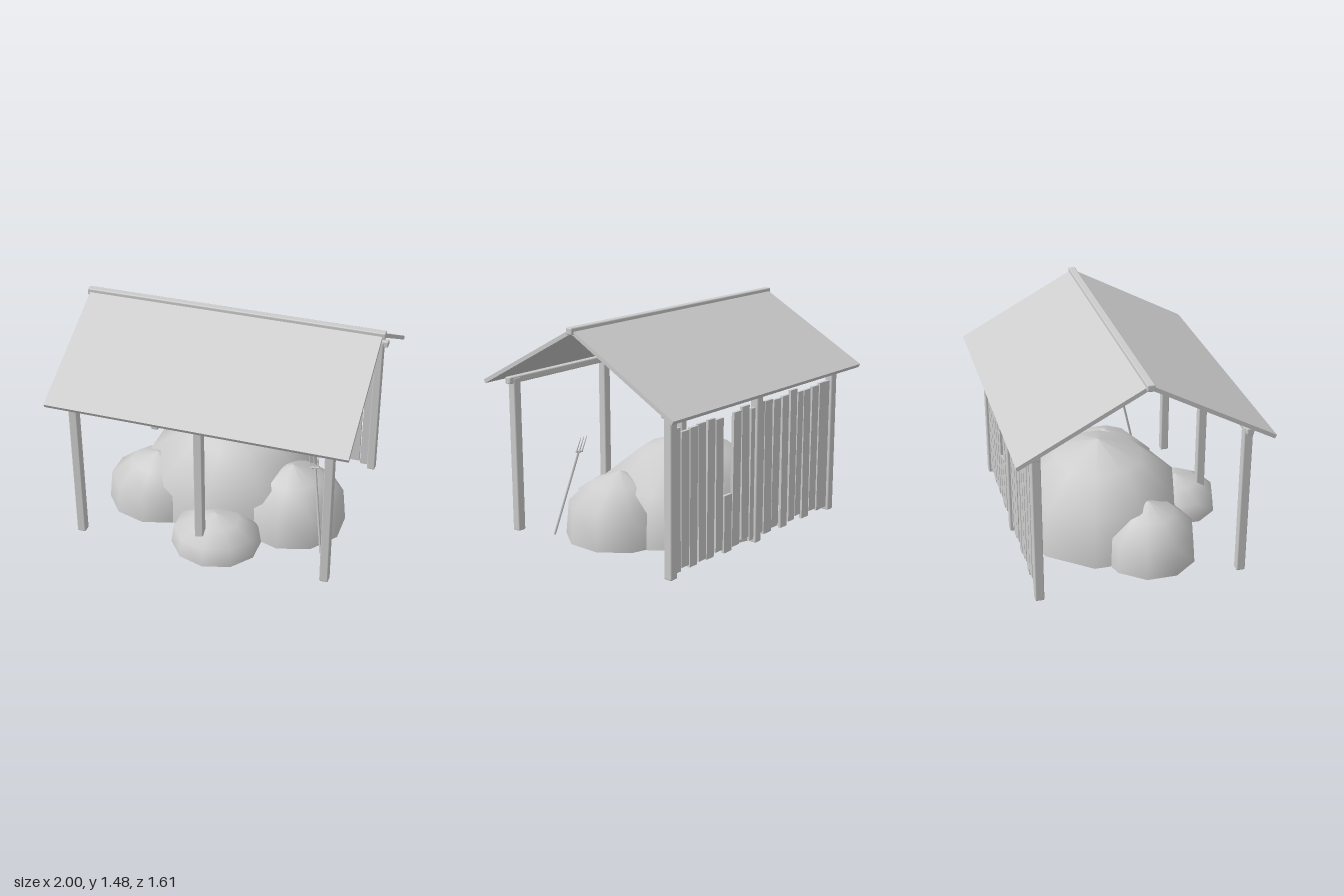
import * as THREE from 'three';
import { RoundedBoxGeometry } from 'three/addons/geometries/RoundedBoxGeometry.js';

export function createModel() {
  const model = new THREE.Group();
  model.name = 'haySheltter'.replace('tt', 't');
  const grey = new THREE.MeshStandardMaterial({ color: 0xcccccc });
  grey.name = 'paleGrey';

  const add = (name, geometry, x, y, z, parent = model) => {
    const mesh = new THREE.Mesh(geometry, grey);
    mesh.name = name;
    mesh.position.set(x, y, z);
    parent.add(mesh);
    return mesh;
  };
  const timber = (w, h, d) => new RoundedBoxGeometry(w, h, d, 1, 0.008);

  // Posts and the beams lying on them
  for (const z of [0.667, -0.662]) {
    const side = z > 0 ? 'front' : 'back';
    for (const x of [-0.84, 0, 0.84]) add(side + 'Post', timber(0.058, 1.045, 0.058), x, 0.5275, z);
    add(side + 'Beam', timber(1.8, 0.045, 0.048), 0, 1.036, z);
  }

  // Pitched roof with a ridge pole
  for (const s of [1, -1]) {
    const panel = add(s > 0 ? 'frontRoof' : 'backRoof', new THREE.BoxGeometry(1.96, 0.026, 0.902), 0, 1.24, s * 0.4);
    panel.rotation.x = s * 0.492;
  }
  add('ridgePole', timber(2, 0.045, 0.05), 0, 1.457, 0);

  // Back wall planks: left edge, right edge, top, bottom
  const planks = [
    [-0.81, -0.695, 0.935, 0.03], [-0.68, -0.605, 0.925, 0.05], [-0.59, -0.515, 0.92, 0.02],
    [-0.5, -0.44, 0.92, 0.06], [-0.43, -0.36, 0.948, 0.04], [-0.34, -0.27, 0.925, 0.02],
    [-0.245, -0.17, 0.92, 0.05], [-0.16, -0.08, 0.93, 0.03], [-0.07, -0.01, 0.935, 0.05],
    [0.0, 0.07, 0.91, 0.03], [0.085, 0.16, 0.94, 0.06], [0.175, 0.25, 0.92, 0.04],
    [0.26, 0.335, 0.4, 0.02], [0.35, 0.42, 0.91, 0.05], [0.435, 0.505, 0.925, 0.03],
    [0.52, 0.59, 0.92, 0.04], [0.6, 0.67, 0.912, 0.03], [0.678, 0.75, 0.905, 0.05],
    [0.76, 0.82, 0.935, 0.03],
  ];
  const wall = new THREE.Group();
  wall.name = 'plankWall';
  model.add(wall);
  planks.forEach(([x0, x1, top, bottom], i) => {
    const plank = add('plank', new THREE.BoxGeometry(x1 - x0, top - bottom, 0.02),
      (x0 + x1) / 2, (top + bottom) / 2, -0.662, wall);
    plank.rotation.z = 0.01 * Math.sin(i * 2.4);
  });

  // Hay heaps: faceted, smooth-shaded domes with flat undersides
  const profile = [[1, 0], [0.94, 0.53], [0.53, 0.83], [0, 1]].map(([r, y]) => new THREE.Vector2(r, y));
  const heaps = [
    ['mainHeap', -0.02, -0.07, 0.62, 0.63, 0.56],
    ['rightHeap', -0.49, 0.15, 0.345, 0.38, 0.32],
    ['leftHeap', 0.46, 0.1, 0.365, 0.44, 0.36],
    ['frontHeap', 0.055, 0.51, 0.3, 0.235, 0.28],
  ];
  for (const [name, x, z, rx, h, rz] of heaps) {
    const heap = new THREE.Group();
    heap.name = name;
    heap.position.set(x, 0.002, z);
    heap.scale.set(rx, h, rz);
    model.add(heap);
    add(name + 'Dome', new THREE.LatheGeometry(profile, 10), 0, 0, 0, heap);
    const base = new THREE.CircleGeometry(1, 10, Math.PI / 2);
    add(name + 'Base', base.rotateX(Math.PI / 2), 0, 0, 0, heap);
  }

  // Pitchfork leaning on the hay
  const fork = new THREE.Group();
  fork.name = 'pitchfork';
  model.add(fork);
  const rod = (name, a, b, r0, r1) => {
    const from = new THREE.Vector3(...a), to = new THREE.Vector3(...b);
    const dir = to.clone().sub(from);
    const mid = from.add(to).multiplyScalar(0.5);
    const mesh = add(name, new THREE.CylinderGeometry(r1, r0, dir.length(), 6), mid.x, mid.y, mid.z, fork);
    mesh.quaternion.setFromUnitVectors(new THREE.Vector3(0, 1, 0), dir.normalize());
  };
  rod('handle', [0.75, 0.004, 0.424], [0.655, 0.58, 0.28], 0.008, 0.008);
  rod('crossbar', [0.62, 0.573, 0.282], [0.68, 0.583, 0.282], 0.006, 0.006);
  for (const dx of [-0.027, 0, 0.027]) {
    rod('tine', [0.65 + dx, 0.578, 0.28], [0.632 + dx, 0.68, 0.253], 0.005, 0.002);
  }
  return model;
}
